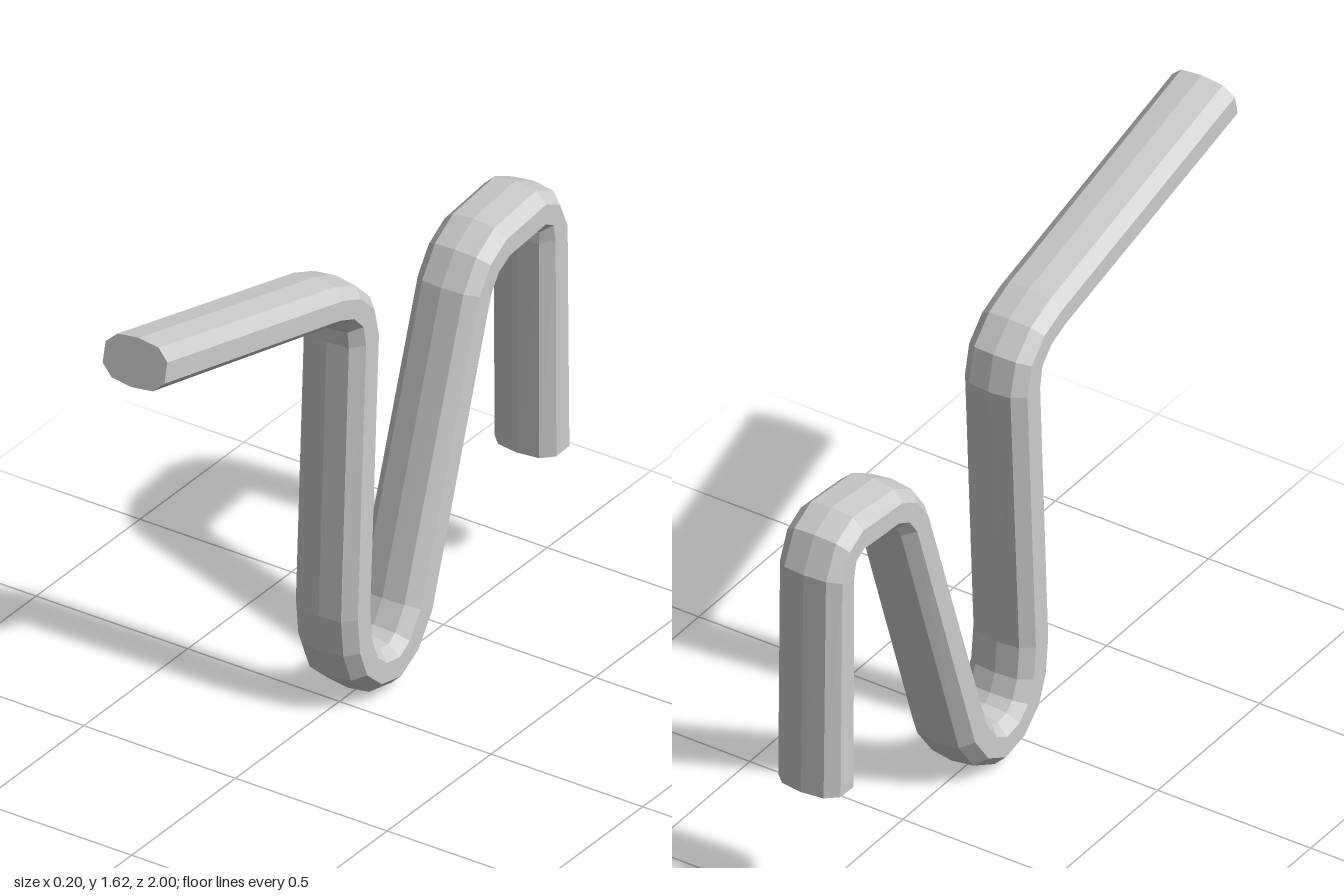
import * as THREE from 'three';

// Bar outline along the bend: [z, y] of one edge, then [z, y] of the opposite edge
const stations = [
  [0.967, 1.62, 1.0, 1.48],
  // upper front bend
  [0.12, 1.40, 0.158, 1.273], [0.02, 1.358, 0.10, 1.25],
  [-0.056, 1.283, 0.067, 1.214], [-0.083, 1.176, 0.062, 1.166],
  // bottom bend
  [-0.04, 0.326, 0.10, 0.32], [-0.05, 0.23, 0.088, 0.203], [-0.072, 0.176, 0.05, 0.107],
  [-0.097, 0.155, -0.04, 0.027], [-0.137, 0.15, -0.153, 0.003],
  [-0.163, 0.166, -0.26, 0.059], [-0.206, 0.23, -0.335, 0.16],
  // rear top bend
  [-0.49, 1.07, -0.619, 1.027], [-0.554, 1.16, -0.645, 1.064], [-0.645, 1.214, -0.683, 1.08],
  [-0.849, 1.235, -0.844, 1.091], [-0.935, 1.193, -0.86, 1.08], [-0.988, 1.09, -0.854, 1.048],
  [-1.0, 0.38, -0.854, 0.374],
];

// Ten-sided oval cross-section: x, and the fraction of the half thickness
const section = [
  [0, 1], [0.068, 0.88], [0.102, 0.43], [0.102, -0.43], [0.068, -0.88],
  [0, -1], [-0.068, -0.88], [-0.102, -0.43], [-0.102, 0.43], [-0.068, 0.88],
];

function loftBar() {
  const rings = stations.map(([az, ay, bz, by]) => section.map(([x, t]) => [
    x, (ay + by) / 2 + t * (ay - by) / 2, (az + bz) / 2 + t * (az - bz) / 2,
  ]));
  const n = section.length, last = rings.length - 1, pos = [];
  const tri = (...corners) => corners.forEach((c) => pos.push(...c));
  for (let i = 0; i < last; i++) {
    for (let j = 0; j < n; j++) {
      const k = (j + 1) % n;
      tri(rings[i][j], rings[i][k], rings[i + 1][k]);
      tri(rings[i][j], rings[i + 1][k], rings[i + 1][j]);
    }
  }
  // flat end caps
  for (let j = 1; j < n - 1; j++) {
    tri(rings[0][0], rings[0][j + 1], rings[0][j]);
    tri(rings[last][0], rings[last][j], rings[last][j + 1]);
  }
  const geometry = new THREE.BufferGeometry();
  geometry.setAttribute('position', new THREE.Float32BufferAttribute(pos, 3));
  geometry.computeVertexNormals();
  return geometry;
}

export function createModel() {
  const group = new THREE.Group();
  group.name = 'bentBarHook';
  const material = new THREE.MeshStandardMaterial({ color: 0xcccccc, flatShading: true });
  const bar = new THREE.Mesh(loftBar(), material);
  bar.name = 'bentBar';
  group.add(bar);
  return group;
}
